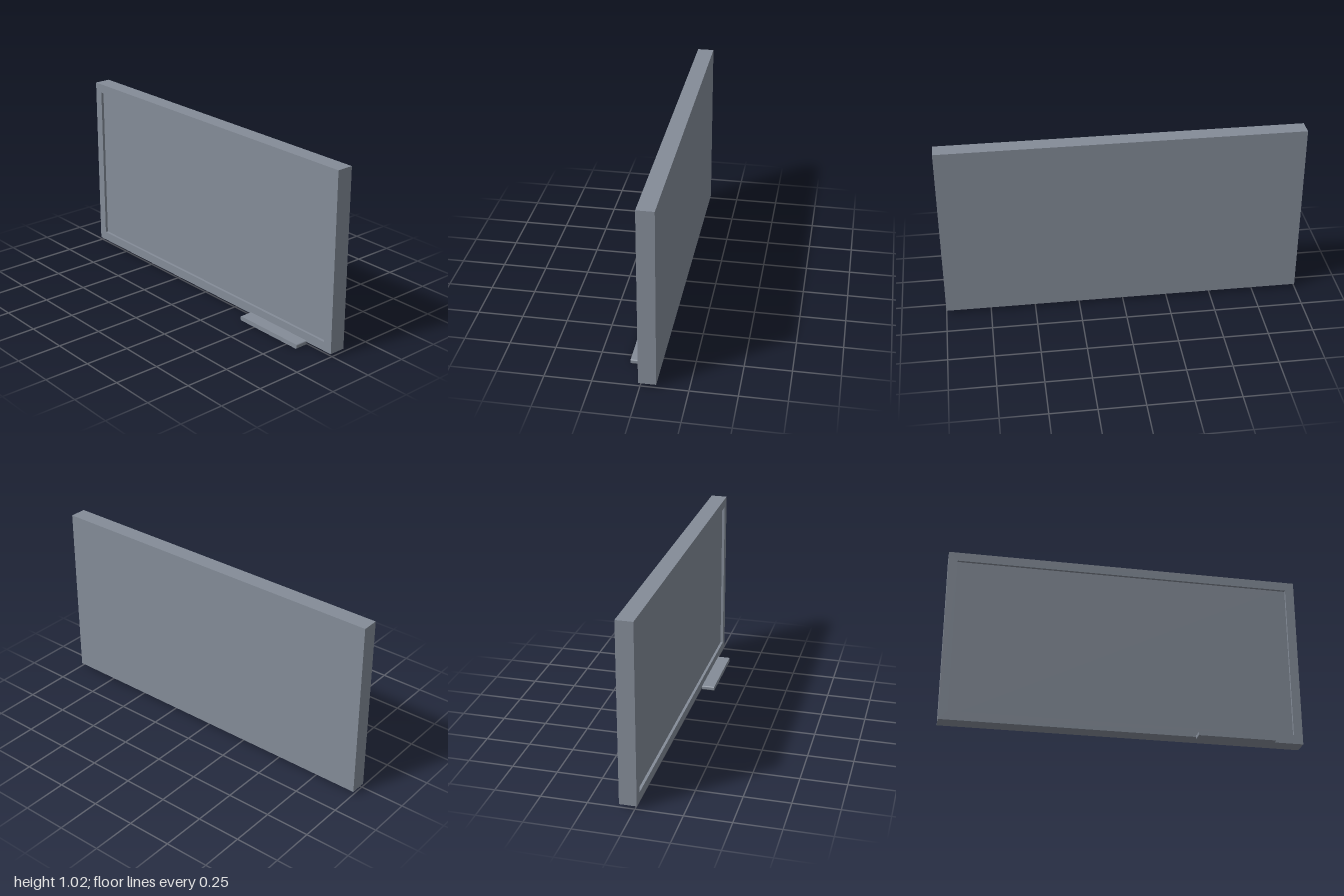
import * as THREE from 'three';

const slate = new THREE.MeshStandardMaterial({ color: 0x848c98 });
slate.name = 'slateGrey';

const BACK = -0.083, FRONT = 0.01, RECESS = 0.015;
const BOTTOM = 0.017, TOP = 1.019, MARGIN = 0.051;

function addPart(group, name, geometry, x = 0, y = 0, z = 0) {
  const mesh = new THREE.Mesh(geometry, slate);
  mesh.name = name;
  mesh.position.set(x, y, z);
  group.add(mesh);
}

// Trace a rectangle, optionally with rounded corners, into a shape or path
function rect(path, x0, y0, x1, y1, r = 0) {
  if (r === 0) {
    path.moveTo(x0, y0).lineTo(x1, y0).lineTo(x1, y1).lineTo(x0, y1).closePath();
    return path;
  }
  path.moveTo(x0 + r, y0);
  path.absarc(x1 - r, y0 + r, r, -Math.PI / 2, 0);
  path.absarc(x1 - r, y1 - r, r, 0, Math.PI / 2);
  path.absarc(x0 + r, y1 - r, r, Math.PI / 2, Math.PI);
  path.absarc(x0 + r, y0 + r, r, Math.PI, Math.PI * 1.5);
  return path;
}

export function createModel() {
  const board = new THREE.Group();
  board.name = 'wallBoard';

  // Solid panel whose front face is the recessed writing surface
  const depth = FRONT - RECESS - BACK;
  addPart(board, 'panel', new THREE.BoxGeometry(2, TOP - BOTTOM, depth),
    0, (TOP + BOTTOM) / 2, BACK + depth / 2);

  // Raised border around the writing surface
  const border = rect(new THREE.Shape(), -1, BOTTOM, 1, TOP);
  border.holes.push(rect(new THREE.Path(),
    -1 + MARGIN, BOTTOM + MARGIN, 1 - MARGIN, TOP - MARGIN));
  addPart(board, 'frame',
    new THREE.ExtrudeGeometry(border, { depth: RECESS, bevelEnabled: false }),
    0, 0, FRONT - RECESS);

  // Pen tray with rounded long edges, fixed to the lower border
  const tray = rect(new THREE.Shape(), 0.39, 0, 0.825, 0.025, 0.007);
  addPart(board, 'penTray',
    new THREE.ExtrudeGeometry(tray, { depth: 0.073, bevelEnabled: false, curveSegments: 6 }),
    0, 0, FRONT);

  return board;
}
